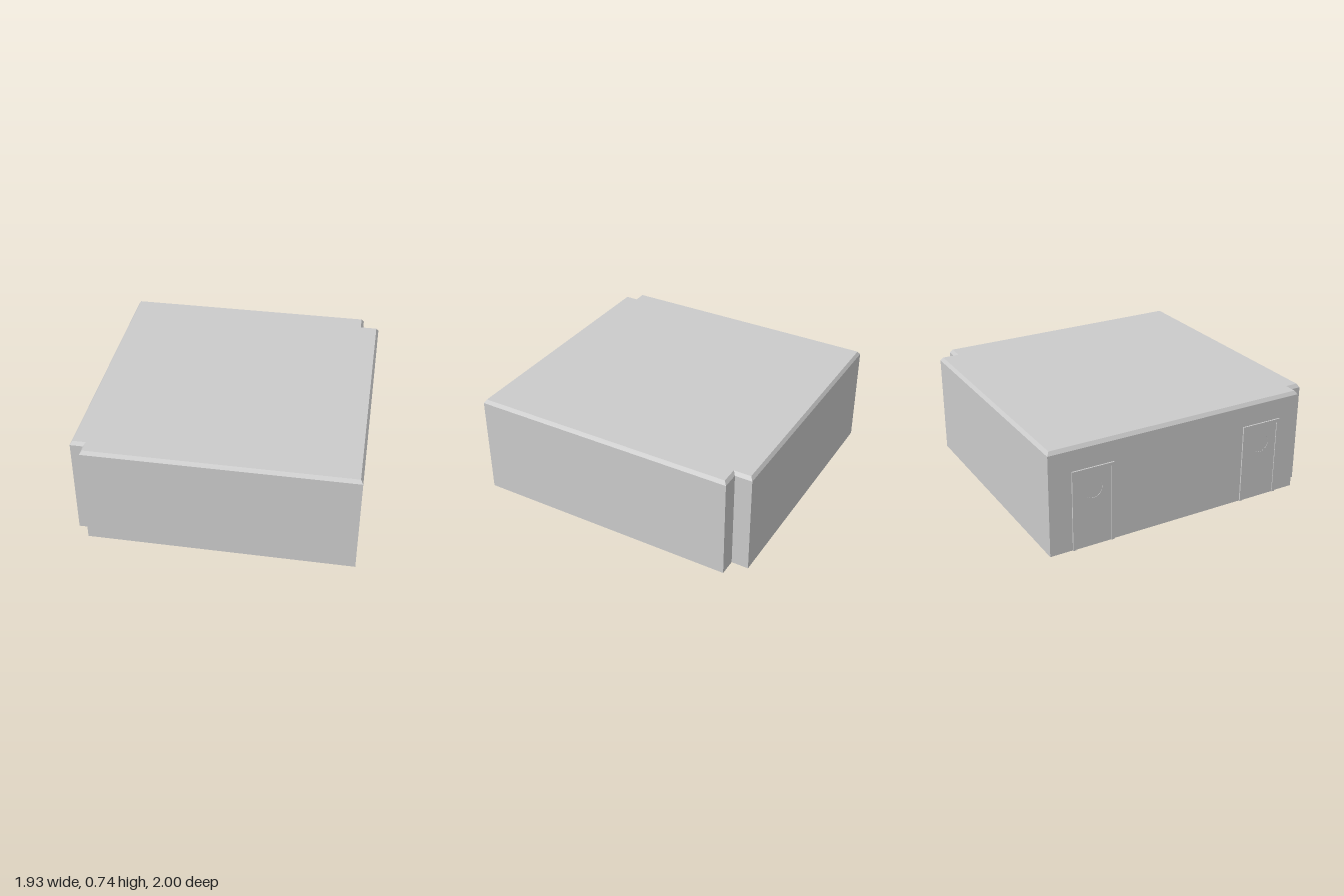
import * as THREE from 'three';

const material = new THREE.MeshStandardMaterial({ color: 0xcccccc, flatShading: true });

function addMesh(parent, name, geometry) {
  const mesh = new THREE.Mesh(geometry, material);
  mesh.name = name;
  parent.add(mesh);
  return mesh;
}

// Moves every corner of a right-angled, counter-clockwise outline inward
function inset(outline, amount) {
  const n = outline.length;
  return outline.map((p, i) => {
    const before = p.clone().sub(outline[(i + n - 1) % n]).normalize();
    const after = outline[(i + 1) % n].clone().sub(p).normalize();
    const dir = before.add(after);
    return new THREE.Vector2(p.x - dir.y * amount, p.y + dir.x * amount);
  });
}

// Closed solid through stacked outlines, capped at both ends
function stackedSolid(levels) {
  const positions = [];
  const put = (p, y) => positions.push(p.x, y, -p.y);
  for (let k = 0; k < levels.length - 1; k++) {
    const lo = levels[k], hi = levels[k + 1];
    lo.outline.forEach((a, i) => {
      const j = (i + 1) % lo.outline.length;
      put(a, lo.y); put(lo.outline[j], lo.y); put(hi.outline[j], hi.y);
      put(a, lo.y); put(hi.outline[j], hi.y); put(hi.outline[i], hi.y);
    });
  }
  const cap = ({ outline, y }, flip) => {
    for (const face of THREE.ShapeUtils.triangulateShape(outline, [])) {
      (flip ? [...face].reverse() : face).forEach(i => put(outline[i], y));
    }
  };
  cap(levels[0], true);
  cap(levels[levels.length - 1], false);
  const geometry = new THREE.BufferGeometry();
  geometry.setAttribute('position', new THREE.Float32BufferAttribute(positions, 3));
  geometry.computeVertexNormals();
  return geometry;
}

const extrude = (shape, depth) =>
  new THREE.ExtrudeGeometry(shape, { depth, bevelEnabled: false, curveSegments: 12 });

// Door: raised frame around a shallow panel with a round porthole
function createDoor(name, z) {
  const door = new THREE.Group();
  door.name = name;
  const half = 0.15, top = 0.565, rim = 0.022;

  const frame = new THREE.Shape([
    [-half, 0], [-half + rim, 0], [-half + rim, top - rim], [half - rim, top - rim],
    [half - rim, 0], [half, 0], [half, top], [-half, top],
  ].map(([x, y]) => new THREE.Vector2(x, y)));
  addMesh(door, 'doorFrame', extrude(frame, 0.01));

  const panel = new THREE.Shape([
    [-half + rim, 0], [half - rim, 0], [half - rim, top - rim], [-half + rim, top - rim],
  ].map(([x, y]) => new THREE.Vector2(x, y)));
  panel.holes.push(new THREE.Path().absarc(0, 0.41, 0.065, 0, Math.PI * 2, true));
  addMesh(door, 'doorPanel', extrude(panel, 0.004));

  const porthole = addMesh(door, 'porthole', new THREE.CircleGeometry(0.065, 24));
  porthole.position.set(0, 0.41, 0.002);

  door.rotation.y = -Math.PI / 2;
  door.position.set(-0.96, 0, z);
  return door;
}

export function createModel() {
  const model = new THREE.Group();
  model.name = 'building';

  // Block with two notched corners and a chamfered roof edge
  const outline = [
    [-0.87, -1], [0.965, -1], [0.965, 0.88], [0.845, 0.88],
    [0.845, 1], [-0.96, 1], [-0.96, -0.91], [-0.87, -0.91],
  ].map(([x, y]) => new THREE.Vector2(x, y));
  addMesh(model, 'body', stackedSolid([
    { outline, y: 0 },
    { outline, y: 0.71 },
    { outline: inset(outline, 0.017), y: 0.735 },
  ]));

  // Two doors on the right side
  model.add(createDoor('rearDoor', -0.69), createDoor('frontDoor', 0.61));
  return model;
}
